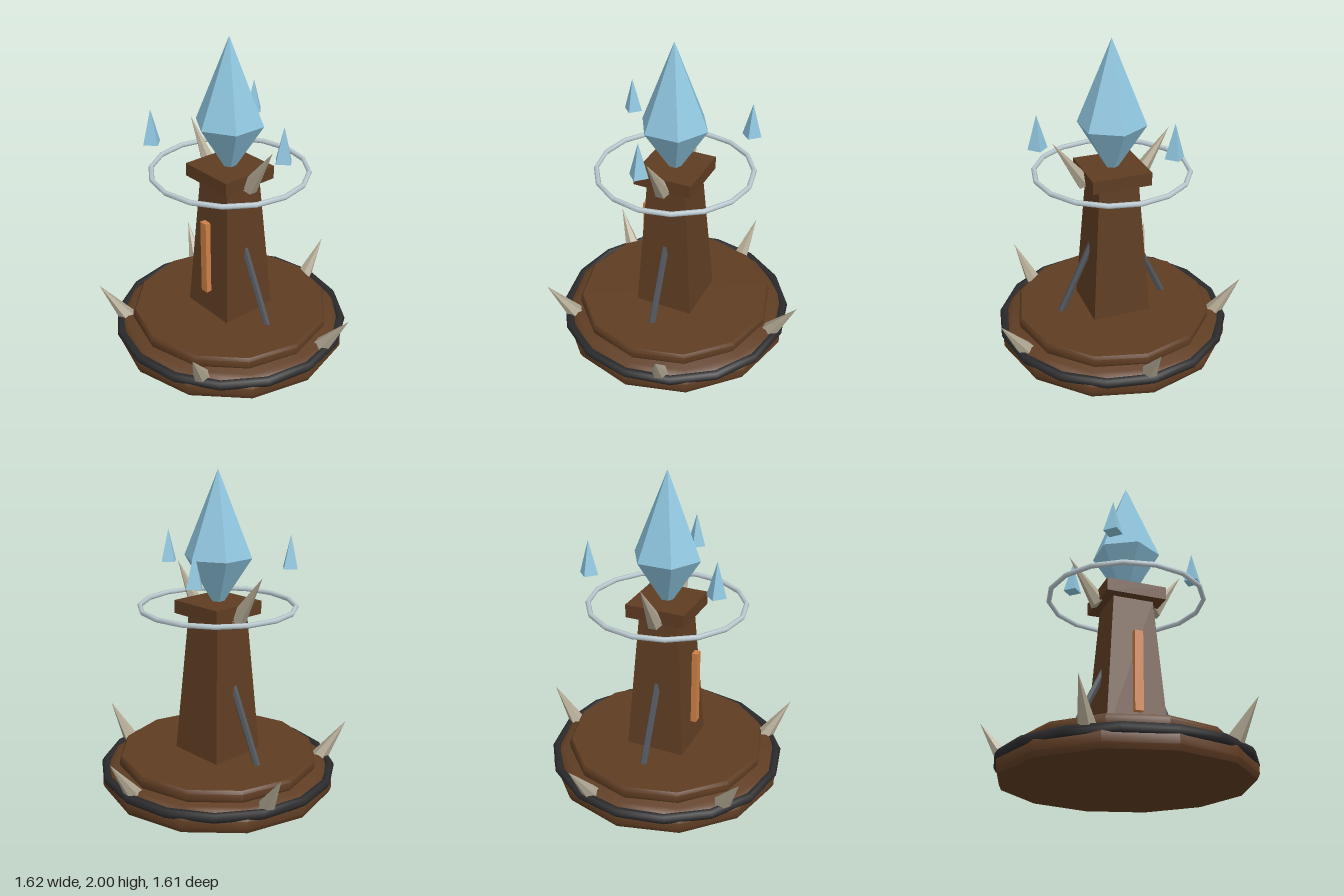
import * as THREE from 'three';
import { toCreasedNormals } from 'three/addons/utils/BufferGeometryUtils.js';

const paint = (name, color) => {
  const m = new THREE.MeshStandardMaterial({ color });
  m.name = name;
  return m;
};

// Faceted shading for the low-poly parts
function flat(geometry) {
  const g = geometry.index ? geometry.toNonIndexed() : geometry;
  g.computeVertexNormals();
  return g;
}

export function createModel() {
  const wood = paint('dark wood', 0x5f3d23);
  const iron = paint('black iron', 0x2b2b2d);
  const steel = paint('grey steel', 0x50555c);
  const bone = paint('bone', 0xb0a792);
  const silver = paint('pale silver', 0xbccbd1);
  const bronze = paint('bronze', 0xcd8046);
  const ice = paint('ice blue', 0x8ec5de);

  const model = new THREE.Group();
  model.name = 'crystalTower';
  model.position.z = 0.043;

  function add(name, geometry, material, x = 0, y = 0, z = 0, parent = model) {
    const mesh = new THREE.Mesh(geometry, material);
    mesh.name = name;
    mesh.position.set(x, y, z);
    parent.add(mesh);
    return mesh;
  }

  // Two stepped plinth discs with bevelled rims
  const disc = (profile) => toCreasedNormals(
    new THREE.LatheGeometry(profile.map(([r, y]) => new THREE.Vector2(r, y)), 12), 0.65);
  add('lowerPlinth', disc([[0, 0], [0.733, 0], [0.748, 0.03], [0.748, 0.08],
    [0.725, 0.115], [0.685, 0.14], [0, 0.14]]), wood);
  add('upperPlinth', disc([[0, 0.135], [0.625, 0.135], [0.638, 0.155], [0.638, 0.195],
    [0.625, 0.215], [0, 0.215]]), wood);

  // Iron band round the plinth
  const band = new THREE.TorusGeometry(0.73, 0.03, 6, 16).rotateX(Math.PI / 2);
  add('ironBand', band, iron, 0, 0.105, 0);

  // Tapered square pillar and its cap
  const pillar = new THREE.CylinderGeometry(0.128 * Math.SQRT2, 0.19 * Math.SQRT2, 0.905, 4);
  add('pillar', flat(pillar.rotateY(Math.PI / 4)), wood, 0, 0.6675, 0);
  add('pillarCap', new THREE.BoxGeometry(0.38, 0.083, 0.38), wood, 0, 1.159, 0);

  // Bronze strip on the front
  add('bronzeStrip', new THREE.BoxGeometry(0.053, 0.495, 0.036), bronze, 0, 0.622, 0.198);

  // Spike geometry, base centre at the origin and leaning outward along +x
  const spike = (radius, height) => flat(new THREE.ConeGeometry(radius, height, 6)
    .translate(0, height / 2, 0).rotateZ(-0.6));

  // Ring of five spikes on the plinth
  for (let i = 0; i < 5; i++) {
    const arm = new THREE.Group();
    arm.name = 'plinthSpikeArm';
    arm.rotation.y = Math.PI / 2 - 0.015 + (i * Math.PI * 2) / 5;
    model.add(arm);
    add('plinthSpike', spike(0.055, 0.3), bone, 0.68, 0.112, 0, arm);
  }

  // Mirrored horns on the cap and struts against the pillar
  const strutDirection = new THREE.Vector3(-0.2, 0.43, 0).normalize();
  for (const side of [1, -1]) {
    const half = new THREE.Group();
    half.name = side > 0 ? 'leftSide' : 'rightSide';
    half.rotation.y = side > 0 ? 0 : Math.PI;
    model.add(half);
    add('horn', spike(0.053, 0.35), bone, 0.178, 1.113, 0, half);
    const strut = add('strut', flat(new THREE.CylinderGeometry(0.022, 0.022, 0.58, 6)),
      steel, 0.242, 0.455, 0, half);
    strut.quaternion.setFromUnitVectors(new THREE.Vector3(0, 1, 0), strutDirection);
  }

  // Floating halo
  const halo = new THREE.TorusGeometry(0.484, 0.016, 6, 16).rotateX(Math.PI / 2);
  add('halo', halo, silver, 0, 1.167, 0);

  // Large six-sided crystal, its lower point sunk in the cap
  add('crystalTop', flat(new THREE.ConeGeometry(0.215, 0.525, 6, 1, true)), ice, 0, 1.7375, 0);
  add('crystalBottom', flat(new THREE.CylinderGeometry(0.215, 0, 0.34, 6, 1, true)), ice, 0, 1.305, 0);

  // Three small shards floating round it
  for (let i = 0; i < 3; i++) {
    const a = (i * Math.PI * 2) / 3;
    add('floatingShard', flat(new THREE.ConeGeometry(0.061, 0.21, 4)), ice,
      Math.cos(a) * 0.465, 1.487, Math.sin(a) * 0.465);
  }
  return model;
}
